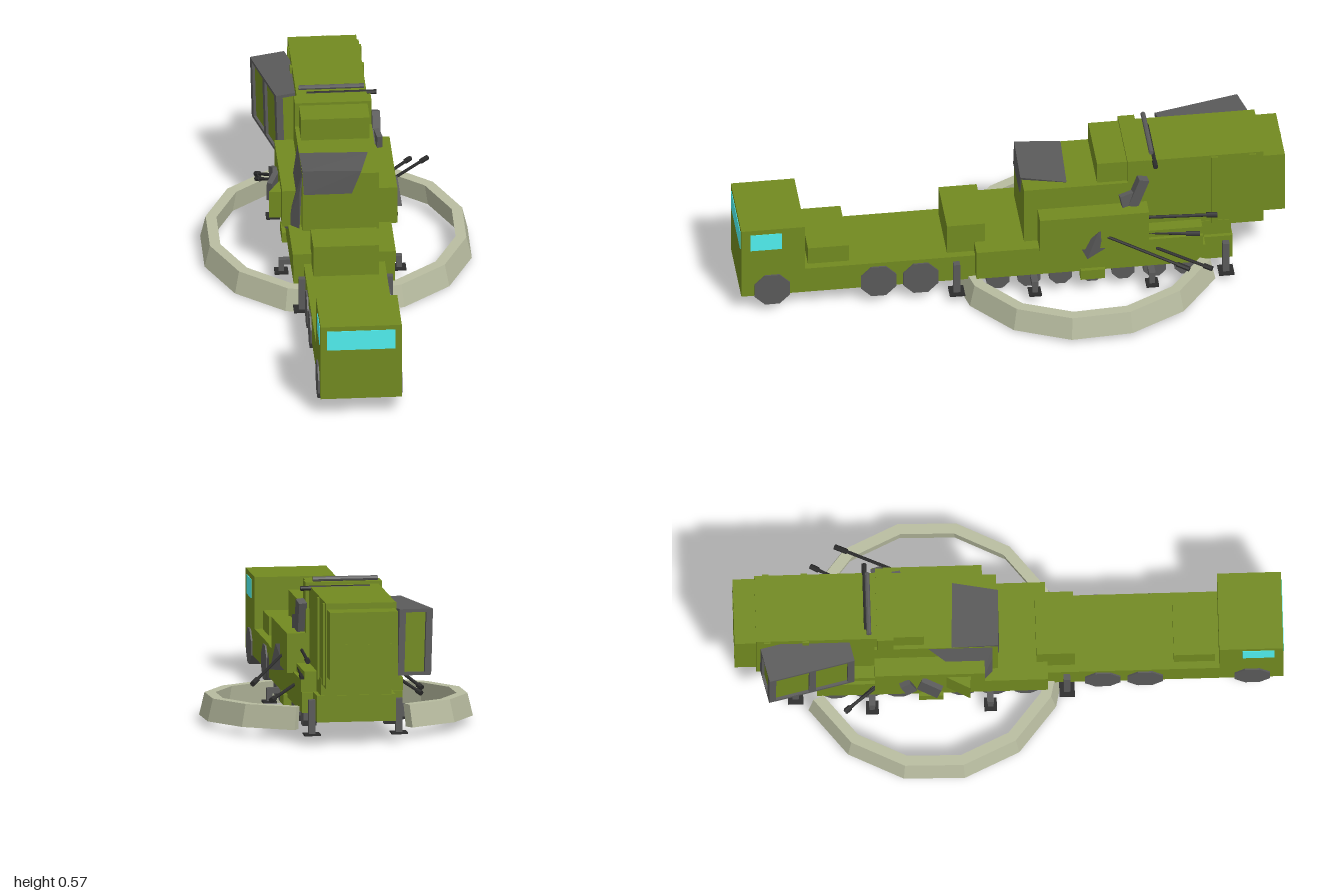
import * as THREE from 'three';
import { ConvexGeometry } from 'three/addons/geometries/ConvexGeometry.js';

const mat = (color) => new THREE.MeshStandardMaterial({ color, flatShading: true, side: THREE.DoubleSide });

export function createModel() {
  const model = new THREE.Group();
  const olive = mat(0x728a20), grey = mat(0x5a5a5a), black = mat(0x2c2c2c);
  const glass = mat(0x50f0f0), pale = mat(0xb8bca0);

  const add = (name, geometry, material, parent = model) => {
    const mesh = new THREE.Mesh(geometry, material);
    mesh.name = name;
    parent.add(mesh);
    return mesh;
  };
  // Box given by its limits on each axis
  const block = (name, [x0, x1], [y0, y1], [z0, z1], material = olive, parent = model) => {
    const m = add(name, new THREE.BoxGeometry(x1 - x0, y1 - y0, z1 - z0), material, parent);
    m.position.set((x0 + x1) / 2, (y0 + y1) / 2, (z0 + z1) / 2);
  };
  // Rod between two points
  const rod = (name, a, b, r, material = black) => {
    const p = new THREE.Vector3(...a), q = new THREE.Vector3(...b), d = q.clone().sub(p);
    const m = add(name, new THREE.CylinderGeometry(r, r, d.length(), 8), material);
    m.position.copy(p).add(q).multiplyScalar(0.5);
    m.quaternion.setFromUnitVectors(new THREE.Vector3(0, 1, 0), d.normalize());
  };
  const hull = (name, pts, material) =>
    add(name, new ConvexGeometry(pts.map((p) => new THREE.Vector3(...p))), material);
  const wheel = (name, x, y, z, r, w) => {
    const m = add(name, new THREE.CylinderGeometry(r, r, w, 8), grey);
    m.geometry.rotateY(Math.PI / 8).rotateZ(Math.PI / 2);
    m.position.set(x, y, z);
  };
  const span = (s, a, b) => (s > 0 ? [a, b] : [-b, -a]);

  // Tractor truck
  block('cab', [-0.148, 0.148], [0.075, 0.37], [0.765, 0.998]);
  block('windscreen', [-0.125, 0.125], [0.275, 0.352], [0.99, 1], glass);
  block('truckChassis', [-0.148, 0.148], [0.075, 0.18], [0.12, 0.77]);
  block('engineBox', [-0.12, 0.12], [0.18, 0.25], [0.6, 0.75]);
  block('couplingBox', [-0.12, 0.12], [0.18, 0.3], [0.1, 0.24]);
  for (const s of [1, -1]) {
    block('sideWindow', span(s, 0.14, 0.15), [0.28, 0.35], [0.85, 0.965], glass);
    for (const z of [0.885, 0.495, 0.34]) wheel('truckWheel', s * 0.125, 0.1, z, 0.07, 0.058);
  }

  // Trailer decks and running gear
  block('trailerBase', [-0.185, 0.185], [0.1, 0.175], [-0.7, 0.14]);
  block('trailerTail', [-0.145, 0.145], [0.08, 0.178], [-0.805, -0.7]);
  block('trailerDeck', [-0.188, 0.188], [0.175, 0.22], [-0.69, 0.14]);
  block('rearPlinth', [-0.13, 0.13], [0.17, 0.24], [-0.8, -0.3]);
  for (const s of [1, -1]) {
    for (let i = 0; i < 7; i++) wheel('trailerWheel', s * 0.15, 0.085, 0.06 - i * 0.115, 0.045, 0.05);
    // Corner jacks
    for (const z of [0.21, -0.778]) {
      block('jackLeg', span(s, 0.148, 0.172), [0.035, 0.16], [z - 0.012, z + 0.012], grey);
      block('jackPad', span(s, 0.13, 0.19), [0.03, 0.036], [z - 0.028, z + 0.028], black);
    }
    // Outriggers
    for (const z of [-0.07, -0.5]) {
      block('outriggerArm', span(s, 0.12, 0.225), [0.075, 0.095], [z - 0.012, z + 0.012], grey);
      block('outriggerLeg', span(s, 0.205, 0.225), [0.045, 0.09], [z - 0.01, z + 0.01], grey);
      block('outriggerPad', span(s, 0.19, 0.24), [0.04, 0.048], [z - 0.023, z + 0.023], black);
    }
    block('stepBox', span(s, 0.17, 0.2), [0.07, 0.11], [-0.33, -0.24]);
  }

  // Open ring, swept from a leaning four-sided section
  const section = [[0.5, 0], [0.48, 0.083], [0.44, 0.083], [0.455, 0]];
  const pos = [], idx = [], steps = 12;
  for (let i = 0; i <= steps; i++) {
    const a = ((i - 2.5) * Math.PI * 2) / 14;
    for (const [r, y] of section) {
      const z = -0.282 + r * Math.sin(a);
      pos.push(r * Math.cos(a), y + 0.002 + 0.042 * (0.218 - z), z);
    }
    for (let j = 0; i < steps && j < 4; j++) {
      const p = i * 4 + j, q = i * 4 + ((j + 1) % 4);
      idx.push(p, q, q + 4, p, q + 4, p + 4);
    }
  }
  const e = steps * 4;
  idx.push(0, 3, 2, 0, 2, 1, e, e + 1, e + 2, e, e + 2, e + 3);
  const ring = new THREE.BufferGeometry();
  ring.setAttribute('position', new THREE.Float32BufferAttribute(pos, 3));
  ring.setIndex(idx);
  ring.computeVertexNormals();
  add('openRing', ring, pale);

  // Superstructure
  block('frontHousing', [-0.14, 0.14], [0.22, 0.45], [-0.49, -0.04]);
  block('roofBox', [-0.125, 0.125], [0.45, 0.535], [-0.42, -0.31]);
  block('roofCollar', [-0.14, 0.14], [0.45, 0.545], [-0.48, -0.42]);
  block('rearHousing', [-0.128, 0.128], [0.22, 0.535], [-0.92, -0.48]);
  block('rearCap', [-0.125, 0.125], [0.265, 0.513], [-0.999, -0.92]);
  block('rearCrossRib', [-0.125, 0.125], [0.38, 0.395], [-1, -0.998]);
  block('rearPanelRib', [-0.01, 0.01], [0.265, 0.513], [-1, -0.998]);
  for (const z of [-0.74, -0.88]) block('housingRib', [-0.135, 0.135], [0.23, 0.53], [z - 0.012, z + 0.012]);
  for (const s of [1, -1]) {
    block('sideBox', span(s, 0.14, 0.21), [0.215, 0.36], [-0.49, -0.09]);
    block('sideLedge', span(s, 0.12, 0.175), [0.22, 0.25], [-0.69, -0.49]);
  }

  // Skewed grey hood over the front housing, with a flap down its right side
  hull('hood', [[-0.14, 0.452, -0.21], [0.11, 0.452, -0.2], [0.075, 0.462, -0.035], [-0.14, 0.466, -0.04],
    [-0.135, 0.37, -0.036], [0.04, 0.37, -0.036]], grey);
  hull('hoodFlap', [[-0.138, 0.45, -0.06], [-0.138, 0.45, -0.3], [-0.2, 0.2, -0.11], [-0.15, 0.2, -0.06],
    [-0.15, 0.36, -0.06]], grey);

  // Skewed side compartment with a grey frame and olive doors
  const bay = new THREE.Group();
  bay.name = 'sideCompartment';
  bay.position.set(-0.168, 0.382, -0.735);
  bay.rotation.set(0, 0.23, 0.03);
  model.add(bay);
  block('compartmentCore', [-0.055, 0.055], [-0.115, 0.115], [-0.15, 0.14], olive, bay);
  block('compartmentRoof', [-0.065, 0.065], [0.11, 0.122], [-0.16, 0.16], grey, bay);
  block('compartmentFloor', [-0.065, 0.065], [-0.122, -0.11], [-0.16, 0.16], grey, bay);
  for (const z of [-0.16, -0.01, 0.135]) {
    block('compartmentPost', [-0.065, -0.04], [-0.12, 0.12], [z, z + 0.025], grey, bay);
    block('compartmentInnerPost', [0.04, 0.065], [-0.12, 0.12], [z, z + 0.025], grey, bay);
  }

  // Wedge fairings on the side boxes
  hull('rightFairing', [[-0.205, 0.33, -0.24], [-0.205, 0.225, -0.24], [-0.255, 0.225, -0.145],
    [-0.255, 0.33, -0.145], [-0.2, 0.33, -0.14], [-0.2, 0.225, -0.14]], olive);
  hull('leftFairing', [[0.185, 0.21, -0.24], [0.24, 0.192, -0.26], [0.225, 0.295, -0.3],
    [0.2, 0.295, -0.32], [0.195, 0.2, -0.33]], grey);

  // Loose side plates: position, size, tilt about x and y
  const plates = [
    [0.155, 0.42, -0.455, 0.03, 0.12, 0.04, -0.35, 0.2], [0.162, 0.395, -0.42, 0.02, 0.05, 0.06, 0.2, 0.2],
    [-0.23, 0.28, -0.29, 0.02, 0.08, 0.08, 0.2, -0.4], [-0.222, 0.27, -0.37, 0.02, 0.08, 0.04, -0.3, 0.3],
  ];
  for (const [x, y, z, w, h, d, rx, ry] of plates) {
    const p = add('sidePlate', new THREE.BoxGeometry(w, h, d), grey);
    p.position.set(x, y, z);
    p.rotation.set(rx, ry, 0);
  }

  // Roof rods
  rod('roofRod', [-0.12, 0.562, -0.51], [0.118, 0.562, -0.51], 0.009, grey);
  rod('roofRod', [-0.09, 0.53, -0.52], [0.165, 0.53, -0.52], 0.009, black);

  // Long barrels with thicker tips
  const barrels = [
    [[0.2, 0.262, -0.33], [0.355, 0.198, -0.62]], [[0.185, 0.178, -0.52], [0.3, 0.15, -0.71]],
    [[0.155, 0.298, -0.48], [0.17, 0.296, -0.745]], [[0.16, 0.25, -0.34], [0.18, 0.222, -0.68]],
    [[-0.19, 0.225, -0.47], [-0.27, 0.167, -0.6]], [[-0.18, 0.2, -0.48], [-0.268, 0.147, -0.6]],
  ];
  for (const [a, b] of barrels) {
    rod('barrel', a, b, 0.006);
    rod('barrelTip', a.map((v, i) => v + (b[i] - v) * 0.85), b, 0.01);
  }
  return model;
}
